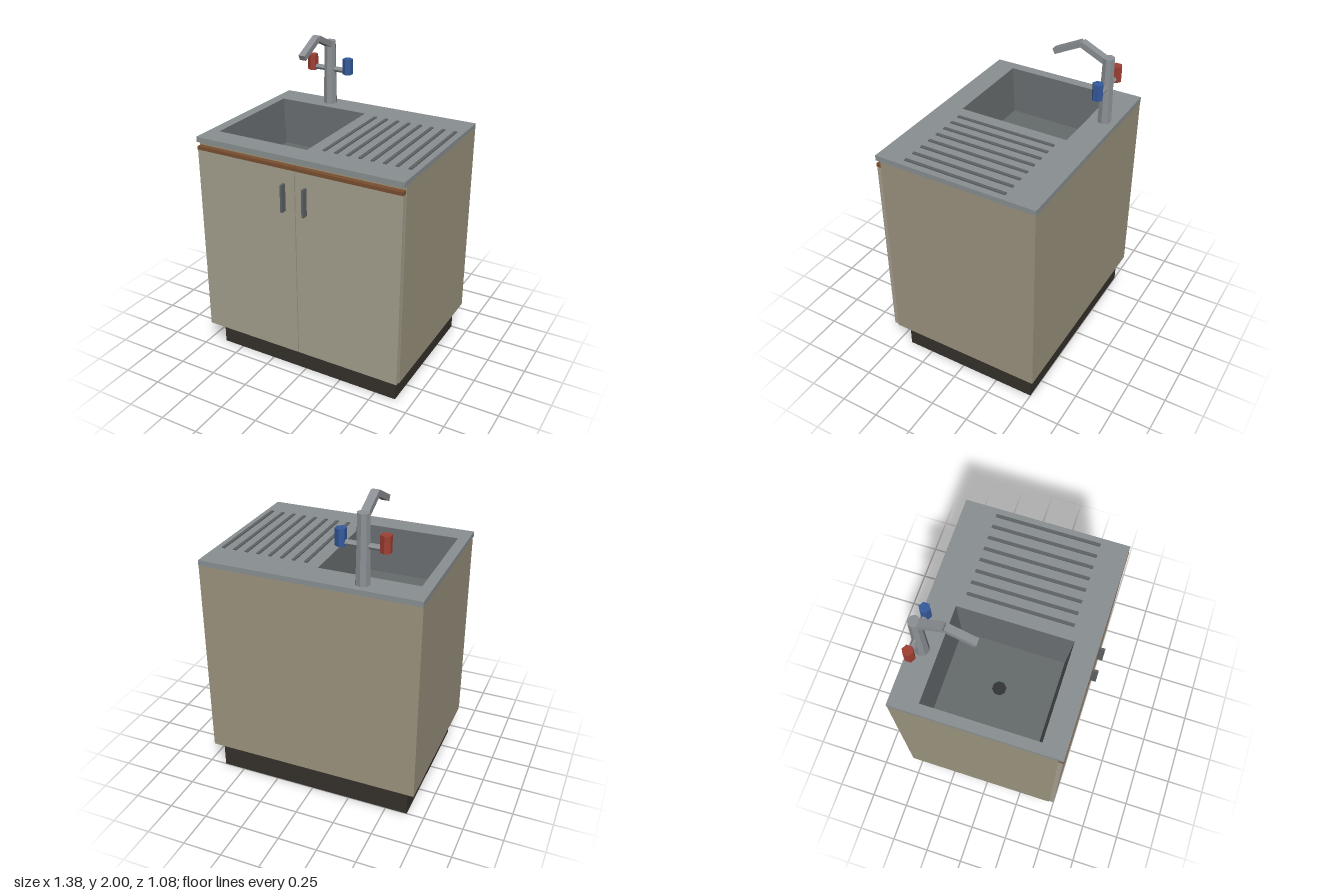
import * as THREE from 'three';

const material = (color, side = THREE.FrontSide) =>
  new THREE.MeshStandardMaterial({ color, flatShading: true, side });

const TOP = 1.51; // worktop height

export function createModel() {
  const model = new THREE.Group();
  model.name = 'sinkCabinet';

  const beige = material(0xa59f8e);
  const panel = material(0x9c947f, THREE.DoubleSide);
  const dark = material(0x35312b, THREE.DoubleSide);
  const wood = material(0x7a4f30);
  const steel = material(0x8a9092);
  const basinSteel = material(0x666b6d, THREE.DoubleSide);
  const chrome = material(0x8c9094);
  const grip = material(0x5f6366);
  const black = material(0x333436);

  const add = (name, geometry, mat, parent = model) => {
    const mesh = new THREE.Mesh(geometry, mat);
    mesh.name = name;
    parent.add(mesh);
    return mesh;
  };

  // Box given by its limits on each axis
  const block = (x0, x1, y0, y1, z0, z1) =>
    new THREE.BoxGeometry(x1 - x0, y1 - y0, z1 - z0)
      .translate((x0 + x1) / 2, (y0 + y1) / 2, (z0 + z1) / 2);

  // Remove one face of a box (2 = top, 3 = bottom)
  const openFace = (geometry, face) => {
    const index = Array.from(geometry.index.array);
    index.splice(face * 6, 6);
    geometry.setIndex(index);
    return geometry;
  };

  // Hollow plinth and carcass
  add('plinth', openFace(block(-0.64, 0.64, 0, 0.18, -0.5, 0.415), 3), dark);
  add('carcass', openFace(block(-0.69, 0.69, 0.18, 1.48, -0.538, 0.472), 2), panel);

  // Doors with wooden top trim and bar handles, mirrored
  for (const side of [-1, 1]) {
    const name = side > 0 ? 'left' : 'right';
    const span = (a, b) => (side > 0 ? [a, b] : [-b, -a]);
    add(name + 'Door', block(...span(0.003, 0.685), 0.183, 1.43, 0.472, 0.502), beige);
    add(name + 'DoorTrim', block(...span(0.003, 0.685), 1.43, 1.452, 0.472, 0.506), wood);
    add(name + 'Handle', block(...span(0.065, 0.079), 1.165, 1.34, 0.502, 0.54), grip);
  }

  // Worktop with basin opening
  const rect = (target, x0, x1, y0, y1) => {
    target.moveTo(x0, y0);
    target.lineTo(x1, y0);
    target.lineTo(x1, y1);
    target.lineTo(x0, y1);
    target.closePath();
    return target;
  };
  const slab = rect(new THREE.Shape(), -0.69, 0.69, -0.504, 0.54);
  slab.holes.push(rect(new THREE.Path(), -0.625, 0, -0.36, 0.365));
  const worktop = new THREE.ExtrudeGeometry(slab, { depth: 0.033, bevelEnabled: false });
  worktop.rotateX(-Math.PI / 2).translate(0, TOP - 0.033, 0);
  add('worktop', worktop, steel);

  // Basin: open box narrowing towards its floor
  const basin = openFace(new THREE.BoxGeometry(0.625, 0.3, 0.725), 2);
  const p = basin.attributes.position;
  for (let i = 0; i < p.count; i++) {
    if (p.getY(i) < 0) p.setXYZ(i, p.getX(i) * 0.888, p.getY(i), p.getZ(i) * 0.912);
  }
  basin.translate(-0.3125, TOP - 0.151, -0.0025);
  add('basin', basin, basinSteel);
  add('drain', new THREE.CylinderGeometry(0.043, 0.043, 0.008, 8)
    .rotateY(Math.PI / 8).translate(-0.313, 1.213, 0), black);

  // Draining board ridges
  const ridges = new THREE.Group();
  ridges.name = 'drainingRidges';
  model.add(ridges);
  for (let i = 0; i < 8; i++) {
    const x = 0.095 + i * 0.0779;
    add('ridge', block(x - 0.01, x + 0.01, TOP - 0.005, TOP + 0.007, -0.33, 0.33), grip, ridges);
  }

  // Tap: column, bent spout, cross pipe and two valve knobs
  const tap = new THREE.Group();
  tap.name = 'tap';
  tap.position.set(-0.313, 0, -0.46);
  model.add(tap);
  add('column', new THREE.CylinderGeometry(0.037, 0.045, 0.42, 8).translate(0, 1.72, 0), chrome, tap);

  // Square bar between two points in the plane x = 0
  const bar = (name, width, z0, y0, z1, y1) => {
    const mesh = add(name, new THREE.BoxGeometry(width, 0.036, Math.hypot(z1 - z0, y1 - y0)), chrome, tap);
    mesh.position.set(0, (y0 + y1) / 2, (z0 + z1) / 2);
    mesh.rotation.x = -Math.atan2(y1 - y0, z1 - z0);
  };
  bar('spoutArm', 0.049, 0, 1.9, 0.175, 1.982);
  bar('spoutTip', 0.045, 0.173, 1.982, 0.348, 1.894);

  add('crossPipe', new THREE.CylinderGeometry(0.018, 0.018, 0.24, 6)
    .rotateZ(Math.PI / 2).translate(0, 1.742, 0), chrome, tap);
  for (const [name, x, color] of [['hotKnob', -0.131, 0xa04034], ['coldKnob', 0.131, 0x355a9c]]) {
    add(name, new THREE.CylinderGeometry(0.034, 0.034, 0.102, 6).translate(x, 1.772, 0), material(color), tap);
  }

  return model;
}
